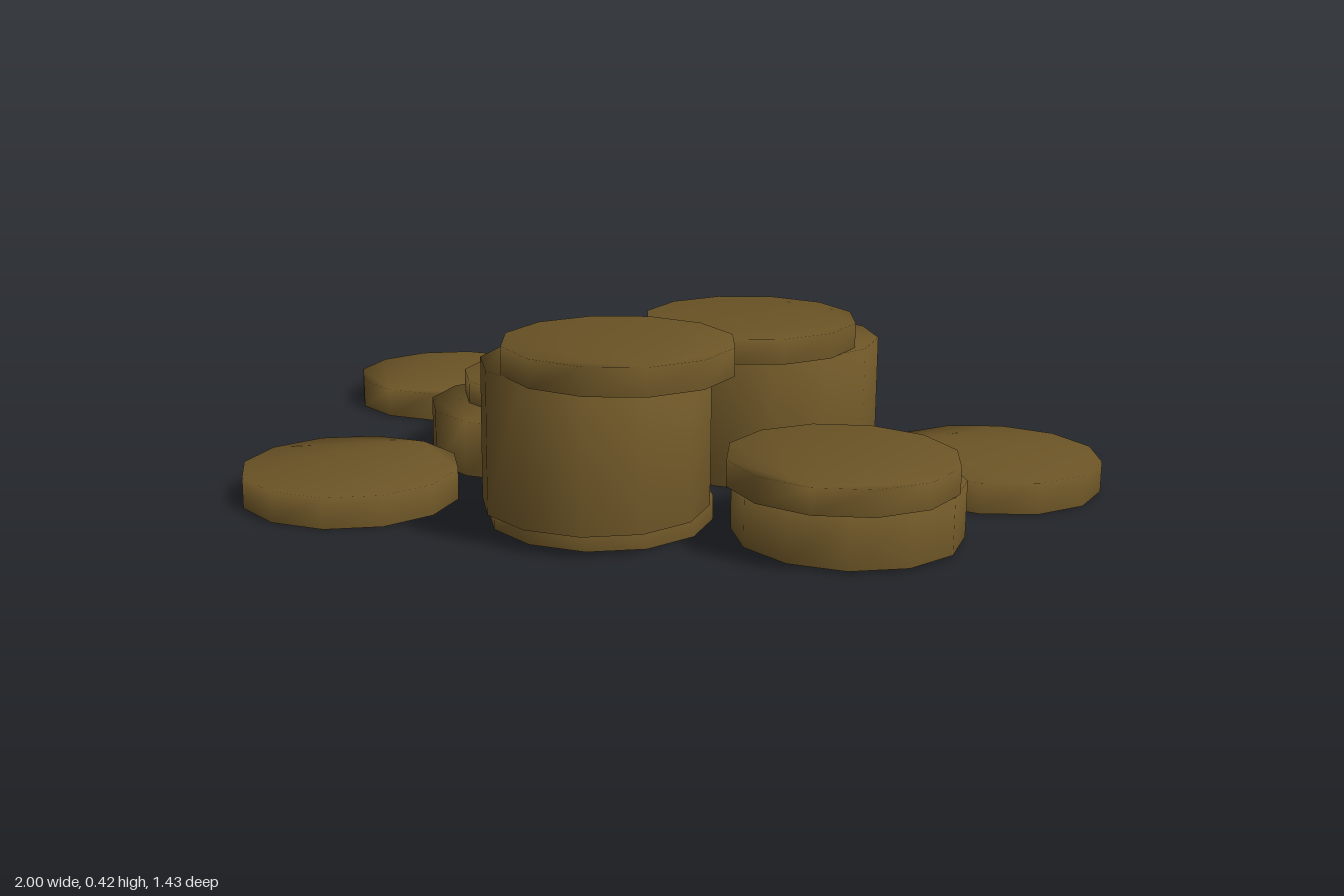
import * as THREE from 'three';

const SIDES = 12, RADIUS = 0.245;

// Disc with an open underside; rim and top share vertices for soft shading.
// The top is a fan that starts at the rim vertex numbered "start".
function discGeometry(height, turn, start) {
  const positions = [], index = [];
  for (const y of [0, height]) {
    for (let i = 0; i < SIDES; i++) {
      const a = (i / SIDES) * Math.PI * 2 + turn;
      positions.push(Math.cos(a) * RADIUS, y, Math.sin(a) * RADIUS);
    }
  }
  const top = (i) => SIDES + (i % SIDES);
  for (let i = 0; i < SIDES; i++) {
    const j = (i + 1) % SIDES;
    index.push(i, top(i), j, j, top(i), top(j));
  }
  for (let i = 1; i < SIDES - 1; i++) {
    index.push(top(start), top(start + i + 1), top(start + i));
  }
  const geometry = new THREE.BufferGeometry();
  geometry.setAttribute('position', new THREE.Float32BufferAttribute(positions, 3));
  geometry.setIndex(index);
  geometry.computeVertexNormals();
  return geometry;
}

export function createModel() {
  const model = new THREE.Group();
  model.name = 'coinPile';
  const bronze = new THREE.MeshStandardMaterial({ color: 0x6b5426, side: THREE.DoubleSide });
  bronze.name = 'bronze';

  // name, x, z, base y, top y, turn in degrees, fan start
  const discs = [
    // loose coins
    ['looseCoinRight', -0.757, -0.335, 0, 0.07, 0, 3],
    ['looseCoinFront', -0.355, 0.468, 0, 0.07, 0, 9],
    ['looseCoinBack', 0.755, -0.48, 0, 0.07, 10, 5],
    // low stack on the right
    ['rightStackBase', -0.245, -0.045, 0, 0.13, 0, 3],
    ['rightStackTop', -0.23, -0.15, 0.125, 0.183, 0, 9],
    // low stack on the left
    ['leftStackBase', 0.675, 0.045, 0.005, 0.127, 0, 8],
    ['leftStackTop', 0.685, 0.09, 0.13, 0.187, 15, 2],
    // tall stack at the back
    ['backStackColumn', 0.26, -0.322, 0, 0.31, 0, 7],
    ['backStackTop', 0.25, -0.235, 0.31, 0.367, 10, 11],
    // tall stack at the front
    ['frontStackBase', 0.18, 0.25, 0, 0.055, 0, 4],
    ['frontStackColumn', 0.205, 0.3, 0.05, 0.36, 0, 6],
    ['frontStackTop', 0.29, 0.335, 0.36, 0.42, 10, 1],
  ];

  for (const [name, x, z, base, top, turn, start] of discs) {
    const geometry = discGeometry(top - base, THREE.MathUtils.degToRad(turn), start);
    const disc = new THREE.Mesh(geometry, bronze);
    disc.name = name;
    disc.position.set(x, base, z);
    model.add(disc);
  }
  return model;
}
